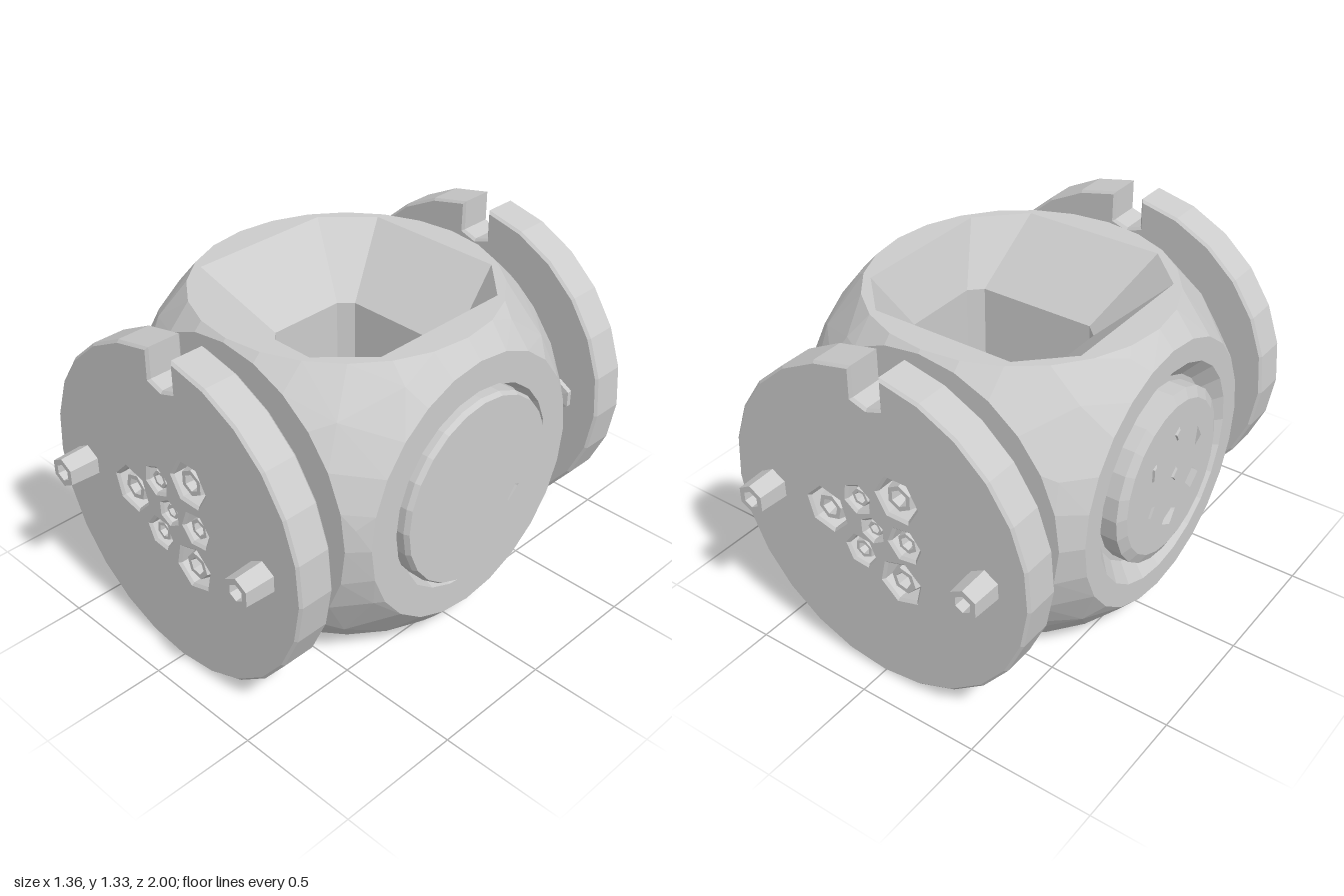
import * as THREE from 'three';
import { ConvexGeometry } from 'three/addons/geometries/ConvexGeometry.js';

const mat = new THREE.MeshStandardMaterial({ color: 0xcccccc, flatShading: true, side: THREE.DoubleSide });
const R = 0.84, HX = 0.65, HY = 0.6, HZ = 0.6, MID = 0.67, SEG = 24;

function add(parent, name, geo, x = 0, y = 0, z = 0) {
  const m = new THREE.Mesh(geo, mat);
  m.name = name;
  m.position.set(x, y, z);
  parent.add(m);
  return m;
}

function ngon(n, r, cx = 0, cy = 0, turn = 0) {
  return Array.from({ length: n }, (_, i) => {
    const a = turn + (i / n) * Math.PI * 2;
    return new THREE.Vector2(cx + r * Math.cos(a), cy + r * Math.sin(a));
  });
}

function shapeWithHoles(outline, holes) {
  const s = new THREE.Shape(outline);
  s.holes = holes.map((h) => new THREE.Path(h));
  return s;
}

// lathe turned so that its axis runs along z
function latheZ(profile, seg) {
  return new THREE.LatheGeometry(profile.map((p) => new THREE.Vector2(...p)), seg).rotateX(Math.PI / 2);
}

// chamfered rectangle of eight points
function chamfered(cx, hx, hz, c) {
  return [[hx, hz - c], [hx - c, hz], [c - hx, hz], [-hx, hz - c], [-hx, c - hz], [c - hx, -hz], [hx - c, -hz], [hx, c - hz]]
    .map(([x, z]) => new THREE.Vector2(cx + x, z));
}

const mouth = chamfered(0, 0.465, 0.475, 0.17);

// sphere cut flat on six sides, left open on top, bottom and both flanks
function shellGeometry() {
  const pts = [];
  for (const s of [-1, 1]) {
    ngon(SEG, Math.sqrt(R * R - HX * HX)).forEach((p) => pts.push(new THREE.Vector3(s * HX, p.x, p.y)));
    ngon(SEG, Math.sqrt(R * R - HY * HY)).forEach((p) => pts.push(new THREE.Vector3(p.x, s * HY, p.y)));
    ngon(SEG, Math.sqrt(R * R - HZ * HZ)).forEach((p) => pts.push(new THREE.Vector3(p.x, p.y, s * HZ)));
  }
  for (let i = 0; i < 160; i++) {
    const y = 1 - (2 * i + 1) / 160, a = i * 2.39996, q = Math.sqrt(1 - y * y);
    const v = new THREE.Vector3(q * Math.cos(a), y, q * Math.sin(a)).multiplyScalar(R);
    if (Math.abs(v.x) < HX - 0.02 && Math.abs(v.y) < HY - 0.02 && Math.abs(v.z) < HZ - 0.02) pts.push(v);
  }
  const p = new ConvexGeometry(pts).attributes.position, keep = [];
  for (let i = 0; i < p.count; i += 3) {
    const k = [i, i + 1, i + 2];
    const flat = (get, h) => k.every((j) => get(j) > h - 1e-3) || k.every((j) => get(j) < 1e-3 - h);
    if (flat((j) => p.getX(j), HX) || flat((j) => p.getY(j), HY)) continue;
    k.forEach((j) => keep.push(p.getX(j), p.getY(j), p.getZ(j)));
  }
  const g = new THREE.BufferGeometry();
  g.setAttribute('position', new THREE.Float32BufferAttribute(keep, 3));
  g.computeVertexNormals();
  return g;
}

// each mouth funnels into a straight, off-centre tunnel
function passageGeometry() {
  const throat = chamfered(0.085, 0.3, 0.215, 0.05);
  const levels = [[HY, mouth], [0.36, throat], [-0.36, throat], [-HY, mouth]];
  const pos = [], idx = [];
  levels.forEach(([y, ring]) => ring.forEach((p) => pos.push(p.x, y, p.y)));
  for (let l = 0; l < levels.length - 1; l++) for (let i = 0; i < 8; i++) {
    const a = l * 8 + i, b = l * 8 + ((i + 1) % 8);
    idx.push(a, a + 8, b, b, a + 8, b + 8);
  }
  const g = new THREE.BufferGeometry();
  g.setAttribute('position', new THREE.Float32BufferAttribute(pos, 3));
  g.setIndex(idx);
  g.computeVertexNormals();
  return g;
}

// round socket in a flank, built facing +z; the plate stands on the cup floor
function socket(name, cupR, floorR, plate, holes) {
  const g = new THREE.Group();
  g.name = name;
  const rim = ngon(SEG, Math.sqrt(R * R - HX * HX));
  add(g, 'socketRim', new THREE.ShapeGeometry(shapeWithHoles(rim, [ngon(SEG, cupR)])));
  add(g, 'socketCup', latheZ([[0, -0.06], [floorR, -0.06], [cupR, 0]], SEG));
  const pits = holes.map(([x, y, n], i) => ngon(n, 0.048, x, y, i * 1.3));
  add(g, 'socketPlate', new THREE.ShapeGeometry(shapeWithHoles(ngon(SEG, plate.top), pits)), 0, 0, plate.z);
  add(g, 'socketPlateEdge', latheZ([[plate.base, -0.06], [plate.base, plate.z - 0.02], [plate.top, plate.z]], SEG)
    .rotateZ(Math.PI / 2));
  pits.forEach((p) => add(g, 'socketHole', new THREE.ExtrudeGeometry(shapeWithHoles(p, []), {
    depth: 0.01, bevelEnabled: false,
  }), 0, 0, plate.z - 0.06));
  return g;
}

// end flange with notch, contact pits and pins, facing +z
function flange(name) {
  const g = new THREE.Group();
  g.name = name;
  const r = 0.665, w = 0.06, a0 = Math.PI / 2 + Math.asin(w / r), sweep = Math.PI * 2 - 2 * Math.asin(w / r);
  const outline = Array.from({ length: SEG + 1 }, (_, i) => {
    const a = a0 + (sweep * i) / SEG;
    return new THREE.Vector2(r * Math.cos(a), r * Math.sin(a));
  });
  outline.push(new THREE.Vector2(w, 0.54), new THREE.Vector2(0, 0.52), new THREE.Vector2(-w, 0.54));
  const contacts = [[0.11, 0.19, 0.09], [-0.07, 0.115, 0.06], [-0.22, 0.005, 0.09], [0.135, 0.005, 0.07],
    [-0.01, 0.005, 0.05], [-0.07, -0.115, 0.065], [0.11, -0.175, 0.09]];
  const pits = contacts.map(([x, y, q], i) => ngon(6, q - 0.005, x, y, i * 0.4));
  add(g, 'flangeDisc', new THREE.ExtrudeGeometry(shapeWithHoles(outline, pits), {
    depth: 0.13, bevelThickness: 0.01, bevelSize: 0.01, bevelOffset: -0.01, bevelSegments: 1,
  }), 0, 0, 0.74);
  // stepped neck, its front end forming the floor of the pits
  add(g, 'neck', latheZ([[0.285, 0.59], [0.285, 0.65], [0.315, 0.65], [0.315, 0.8], [0, 0.8]], 16));
  // hollow contacts inside the pits
  contacts.forEach(([x, y, q], i) => {
    const c = q * 0.6;
    const m = add(g, 'contact', latheZ([[c * 1.3, 0], [c, 0.065], [c * 0.65, 0.065], [c * 0.4, 0.01], [0, 0.01]], 6), x, y, 0.8);
    m.rotation.z = i * 0.4;
  });
  // hollow hexagonal pins running through the disc
  for (const s of [-1, 1]) {
    add(g, 'pin', latheZ([[0, 0.7], [0.065, 0.71], [0.065, 0.88], [0.06, 1], [0.035, 1], [0.03, 0.93], [0, 0.93]], 6), s * 0.48, 0.005, 0);
  }
  g.position.y = 0.665;
  return g;
}

export function createModel() {
  const model = new THREE.Group();
  const body = new THREE.Group();
  body.name = 'body';
  body.position.y = MID;
  model.add(body);

  add(body, 'bodyShell', shellGeometry());
  add(body, 'passage', passageGeometry());
  for (const s of [-1, 1]) {
    const rim = shapeWithHoles(ngon(SEG, Math.sqrt(R * R - HY * HY)), [mouth]);
    add(body, s > 0 ? 'topRim' : 'bottomRim', new THREE.ShapeGeometry(rim), 0, s * HY, 0).rotation.x = -s * Math.PI / 2;
  }

  // side sockets
  const left = socket('leftSocket', 0.41, 0.39, { base: 0.385, top: 0.375, z: 0.03 },
    [[-0.01, 0.21, 5], [-0.11, 0.06, 5], [0.13, 0.06, 3], [-0.17, -0.12, 3], [0, -0.13, 5], [0.19, -0.1, 3]]);
  left.position.x = HX;
  left.rotation.y = Math.PI / 2;
  const right = socket('rightSocket', 0.44, 0.37, { base: 0.35, top: 0.31, z: 0.03 },
    [[0, 0, 5], ...ngon(6, 0.18, 0, 0, 0.5).map((p) => [p.x, p.y, 4])]);
  right.position.x = -HX;
  right.rotation.y = -Math.PI / 2;
  body.add(left, right);

  // matching flanges front and back
  const back = flange('backFlange');
  back.rotation.y = Math.PI;
  model.add(flange('frontFlange'), back);
  return model;
}
